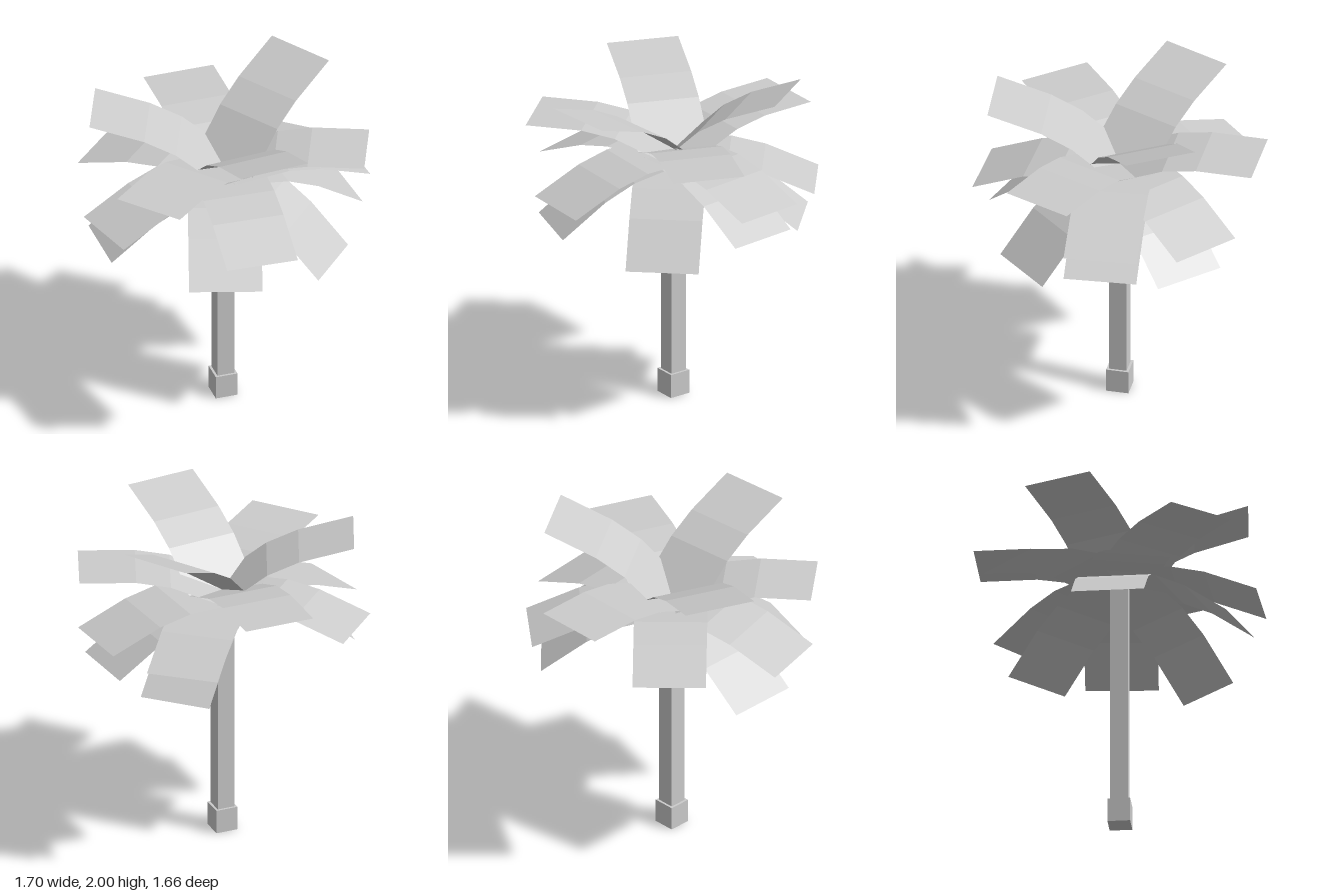
import * as THREE from 'three';

const CROWN_Y = 1.537;
const FROND_WIDTH = 0.425;
// Side profile of a frond along its chord: [distance out, height]
const PROFILE = [[0, 0], [0.317, 0.064], [0.52, 0.06], [0.844, 0]];

// Tip centre of each frond [x, y, z], by tier
const TIERS = {
  upperFrond: [[0.065, 1.935, 0.735], [0.595, 2.0, -0.38], [-0.7, 1.9, -0.295]],
  raisedFrond: [[0, 1.69, -0.83], [-0.63, 1.69, 0.53], [0.76, 1.69, 0.312]],
  middleFrond: [
    [-0.036, 1.365, 0.813], [-0.79, 1.365, 0.205], [-0.585, 1.44, -0.592],
    [0.525, 1.365, -0.63], [0.822, 1.4, -0.073],
  ],
  droopingFrond: [
    [0.508, 1.06, 0.46], [-0.222, 1.16, 0.708], [0.77, 1.23, -0.062],
    [0.525, 1.16, -0.53], [-0.742, 1.16, 0],
  ],
};

// Flat strip bent along the profile, running out along +x
function frondGeometry() {
  const geo = new THREE.PlaneGeometry(1, FROND_WIDTH, PROFILE.length - 1, 1);
  geo.rotateX(-Math.PI / 2).translate(0.5, 0, 0);
  const pos = geo.attributes.position;
  for (let i = 0; i < pos.count; i++) {
    const [x, y] = PROFILE[Math.round(pos.getX(i) * (PROFILE.length - 1))];
    pos.setX(i, x);
    pos.setY(i, y);
  }
  geo.computeVertexNormals();
  return geo;
}

export function createModel() {
  const model = new THREE.Group();
  model.name = 'palmTree';
  const barkMaterial = new THREE.MeshStandardMaterial({ color: 0xcccccc, flatShading: true });
  const leafMaterial = new THREE.MeshStandardMaterial({
    color: 0xcccccc, flatShading: true, side: THREE.DoubleSide,
  });

  // Square post standing on its bottom face
  const post = (name, width, bottom, top) => {
    const mesh = new THREE.Mesh(new THREE.BoxGeometry(width, top - bottom, width), barkMaterial);
    mesh.position.set(-0.003, (bottom + top) / 2, 0);
    mesh.name = name;
    model.add(mesh);
  };
  post('trunkBase', 0.132, 0, 0.145);
  post('trunk', 0.104, 0.145, 1.53);

  // Crown: every frond starts at the trunk top, turned and pitched towards its tip
  const crown = new THREE.Group();
  crown.name = 'crown';
  crown.position.y = CROWN_Y;
  const geo = frondGeometry();
  for (const [name, tips] of Object.entries(TIERS)) {
    tips.forEach(([x, y, z], i) => {
      const frond = new THREE.Mesh(geo, leafMaterial);
      frond.name = `${name}${i + 1}`;
      frond.rotation.set(0, Math.atan2(-z, x), Math.atan2(y - CROWN_Y, Math.hypot(x, z)));
      crown.add(frond);
    });
  }
  model.add(crown);
  return model;
}
